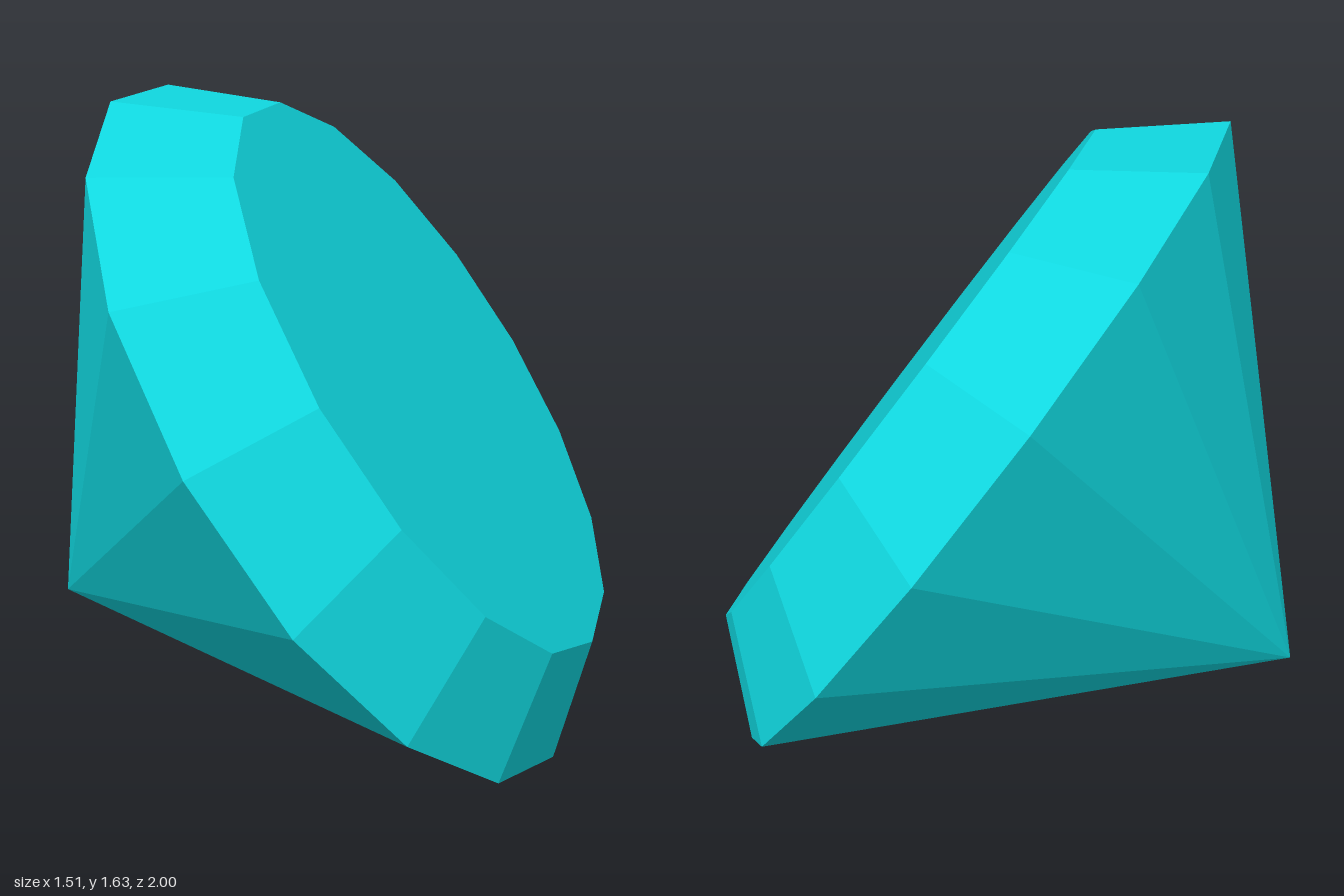
import * as THREE from 'three';

const SIDES = 16;
const GIRDLE_RADIUS = 1.0196;
const TABLE_RADIUS = 0.801;
const CROWN_HEIGHT = 0.248;
const PAVILION_HEIGHT = 1.047;

export function createModel() {
  const model = new THREE.Group();
  model.name = 'gem';

  const turquoise = new THREE.MeshStandardMaterial({ color: 0x10d8e0 });
  turquoise.name = 'turquoise';
  turquoise.flatShading = true;

  // The gem is built upright around its girdle, then tilted as a whole
  const stone = new THREE.Group();
  stone.name = 'cutStone';
  stone.position.set(0.1, 0.82, 0);
  stone.rotation.z = -0.956;
  model.add(stone);

  // Half a facet of turn puts flat facets on the four main sides
  const halfFacet = Math.PI / SIDES;
  const addPart = (name, geometry, y) => {
    const mesh = new THREE.Mesh(geometry.rotateY(halfFacet), turquoise);
    mesh.name = name;
    mesh.position.y = y;
    stone.add(mesh);
  };

  // Long facets meeting at the point
  addPart('pavilion',
    new THREE.CylinderGeometry(GIRDLE_RADIUS, 0, PAVILION_HEIGHT, SIDES, 1, true),
    -PAVILION_HEIGHT / 2);

  // Sloping band between girdle and table
  addPart('crown',
    new THREE.CylinderGeometry(TABLE_RADIUS, GIRDLE_RADIUS, CROWN_HEIGHT, SIDES, 1, true),
    CROWN_HEIGHT / 2);

  // Flat top face
  addPart('table',
    new THREE.CircleGeometry(TABLE_RADIUS, SIDES).rotateX(-Math.PI / 2),
    CROWN_HEIGHT);

  return model;
}
